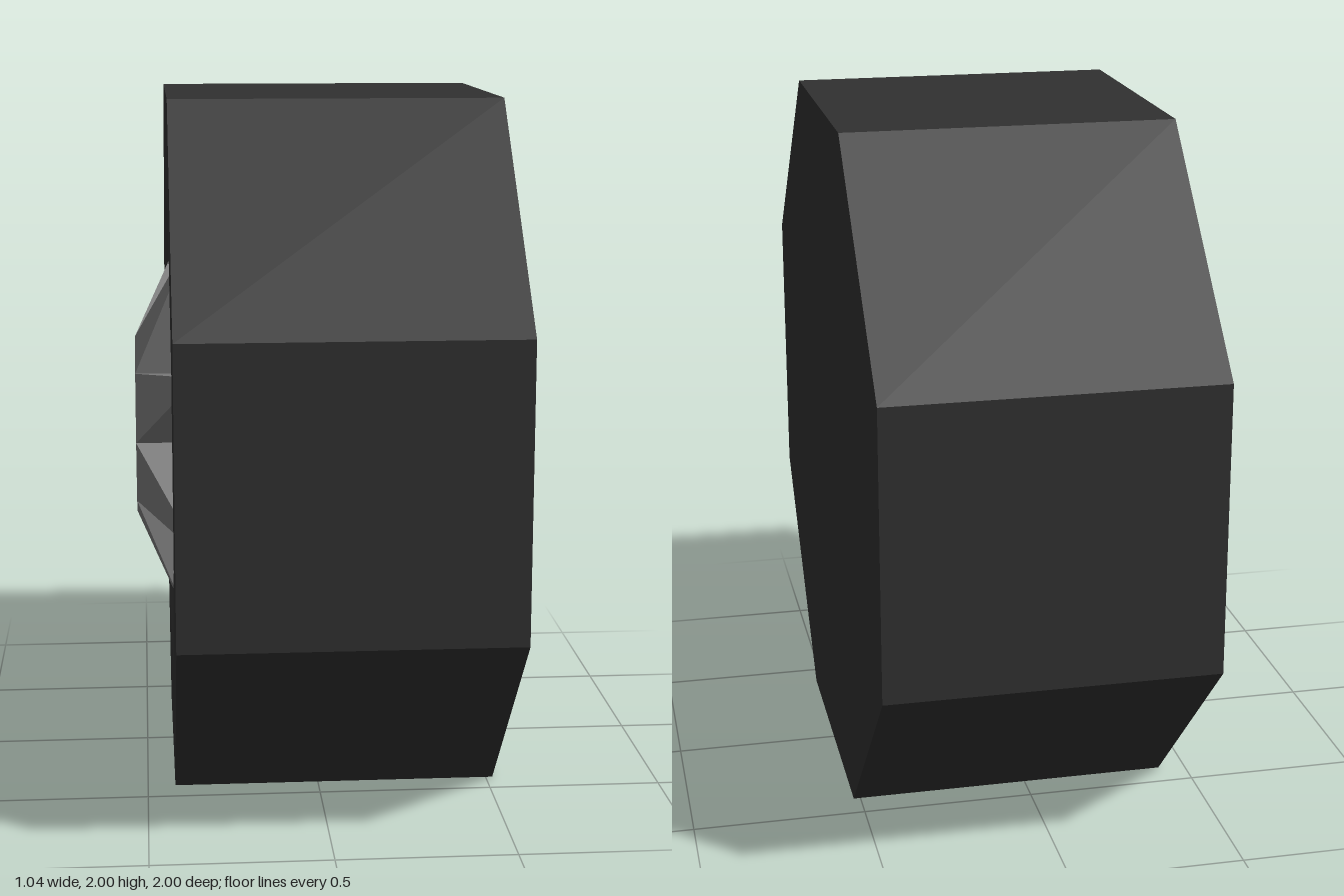
import * as THREE from 'three';

const SIDES = 8;
const HALF = Math.PI / SIDES;

function material(name, color) {
  const m = new THREE.MeshStandardMaterial({ color, flatShading: true });
  m.name = name;
  return m;
}

// Eight-sided ring turned around the axle; points are [radius, height along axle]
function ring(name, points, phi, mat) {
  const profile = points.map(([r, t]) => new THREE.Vector2(r, t));
  const mesh = new THREE.Mesh(new THREE.LatheGeometry(profile, SIDES, phi), mat);
  mesh.name = name;
  return mesh;
}

// Wedge spoke: one hub edge wide at the inside, narrow and lower at the rim
function spokeGeometry(hubRadius) {
  const geo = new THREE.BoxGeometry(1, 1, 1);
  const p = geo.attributes.position;
  for (let i = 0; i < p.count; i++) {
    const outer = p.getX(i) > 0, top = p.getY(i) > 0, side = Math.sign(p.getZ(i));
    const r = outer ? 0.6 : hubRadius * Math.cos(HALF);
    const w = outer ? 0.015 : hubRadius * Math.sin(HALF);
    const t = outer ? (top ? 0.372 : 0.3) : (top ? 0.52 : 0.4);
    p.setXYZ(i, r, t, side * w);
  }
  geo.computeVertexNormals();
  return geo;
}

export function createModel() {
  const rubber = material('dark rubber', 0x303030);
  const metal = material('grey metal', 0x7c7c7c);
  const gold = material('gold', 0xc79726);

  const model = new THREE.Group();
  model.name = 'wheel';
  const axle = new THREE.Group();
  axle.name = 'wheelParts';
  // Axle points to -x, wheel rests on the ground
  axle.rotation.z = Math.PI / 2;
  axle.position.y = 1;
  model.add(axle);

  // Tyre: closed back, chamfered opening and recess floor on the hub side
  const R = 1 / Math.cos(HALF);
  axle.add(ring('tyre', [[0, -0.52], [R, -0.52], [R, 0.42], [0.725, 0.42],
    [0.65, 0.37], [0.65, 0.3], [0, 0.3]], HALF, rubber));

  // Thin rim inside the opening
  axle.add(ring('rim', [[0.65, 0.37], [0.59, 0.37], [0.59, 0.3]], HALF, metal));

  // Hub with gold collar and dark core
  const hubR = 0.27;
  axle.add(ring('hub', [[hubR, 0.3], [hubR, 0.52]], 0, metal));
  axle.add(ring('hubCollar', [[hubR, 0.52], [0.215, 0.52], [0.215, 0.35]], 0, gold));
  axle.add(ring('hubCore', [[0.215, 0.35], [0, 0.35]], 0, rubber));

  // Spokes
  const geo = spokeGeometry(hubR);
  for (let i = 0; i < SIDES; i++) {
    const spoke = new THREE.Mesh(geo, metal);
    spoke.name = 'spoke';
    spoke.rotation.y = HALF * (2 * i + 1);
    axle.add(spoke);
  }
  return model;
}
